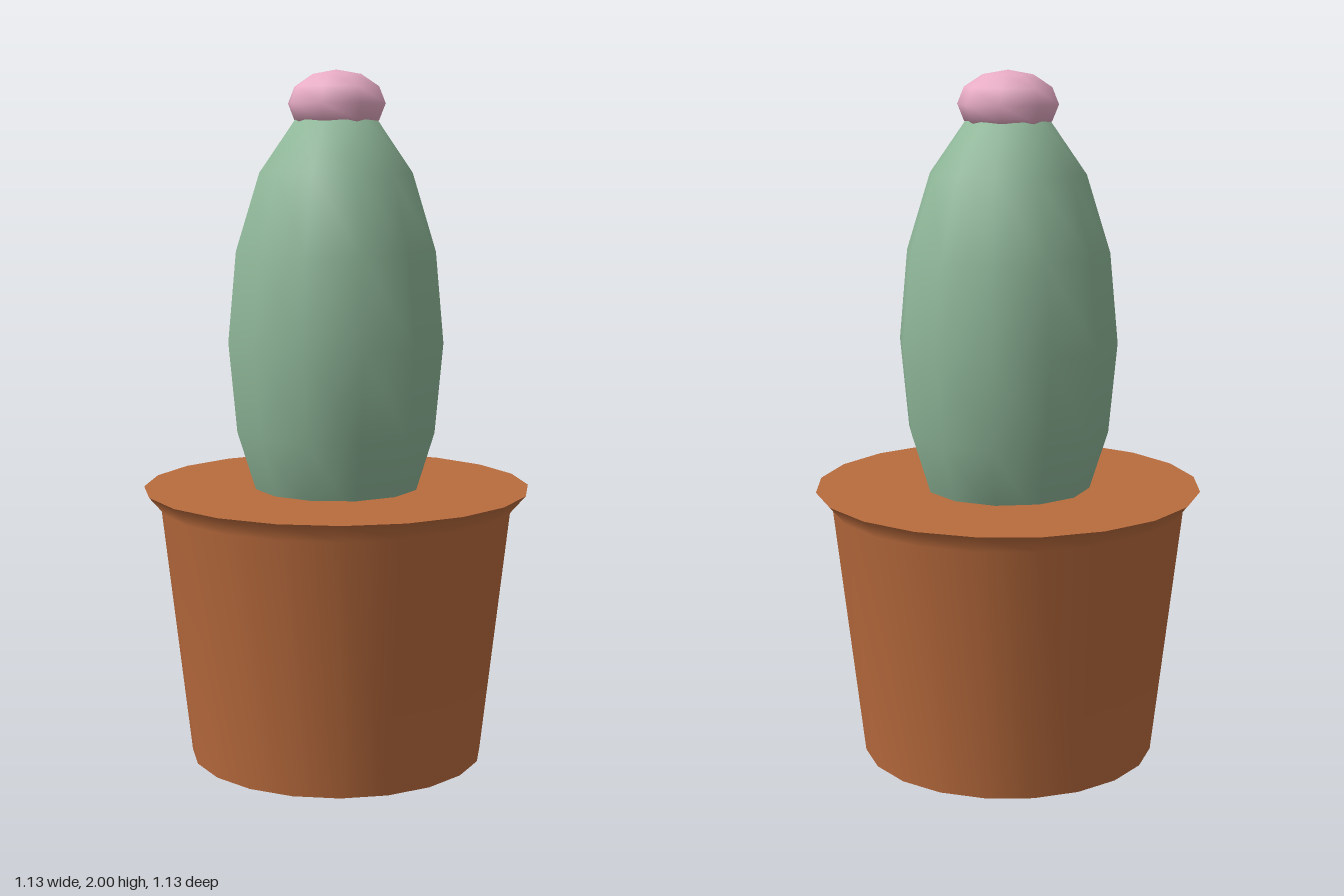
import * as THREE from 'three';

const POT = 0xb96b3d, GREEN = 0x8fb799, PINK = 0xe9adc6;

function addPart(group, name, geometry, material, y = 0) {
  const mesh = new THREE.Mesh(geometry, material);
  mesh.name = name;
  mesh.position.y = y;
  group.add(mesh);
  return mesh;
}

export function createModel() {
  const model = new THREE.Group();
  model.name = 'pottedCactus';
  const clay = new THREE.MeshStandardMaterial({ color: POT });
  const flesh = new THREE.MeshStandardMaterial({ color: GREEN });
  const petal = new THREE.MeshStandardMaterial({ color: PINK });

  // Tapered pot wall flaring into the rim, closed by flat discs
  const pot = new THREE.Group();
  pot.name = 'pot';
  const profile = [[0.43, 0], [0.515, 0.745], [0.563, 0.8]].map(([r, y]) => new THREE.Vector2(r, y));
  addPart(pot, 'potWall', new THREE.LatheGeometry(profile, 20), clay);
  addPart(pot, 'potTop', new THREE.CircleGeometry(0.563, 20).rotateX(-Math.PI / 2), clay, 0.8);
  addPart(pot, 'potBase', new THREE.CircleGeometry(0.43, 20).rotateX(Math.PI / 2), clay);
  model.add(pot);

  // Tall egg-shaped stem, its lower end sunk into the pot
  addPart(model, 'cactusStem', new THREE.SphereGeometry(0.318, 12, 8).scale(1, 0.68 / 0.318, 1), flesh, 1.23);

  // Flattened flower bud on the tip
  addPart(model, 'flower', new THREE.SphereGeometry(0.145, 8, 6).scale(1, 0.095 / 0.145, 1), petal, 1.905);

  return model;
}
